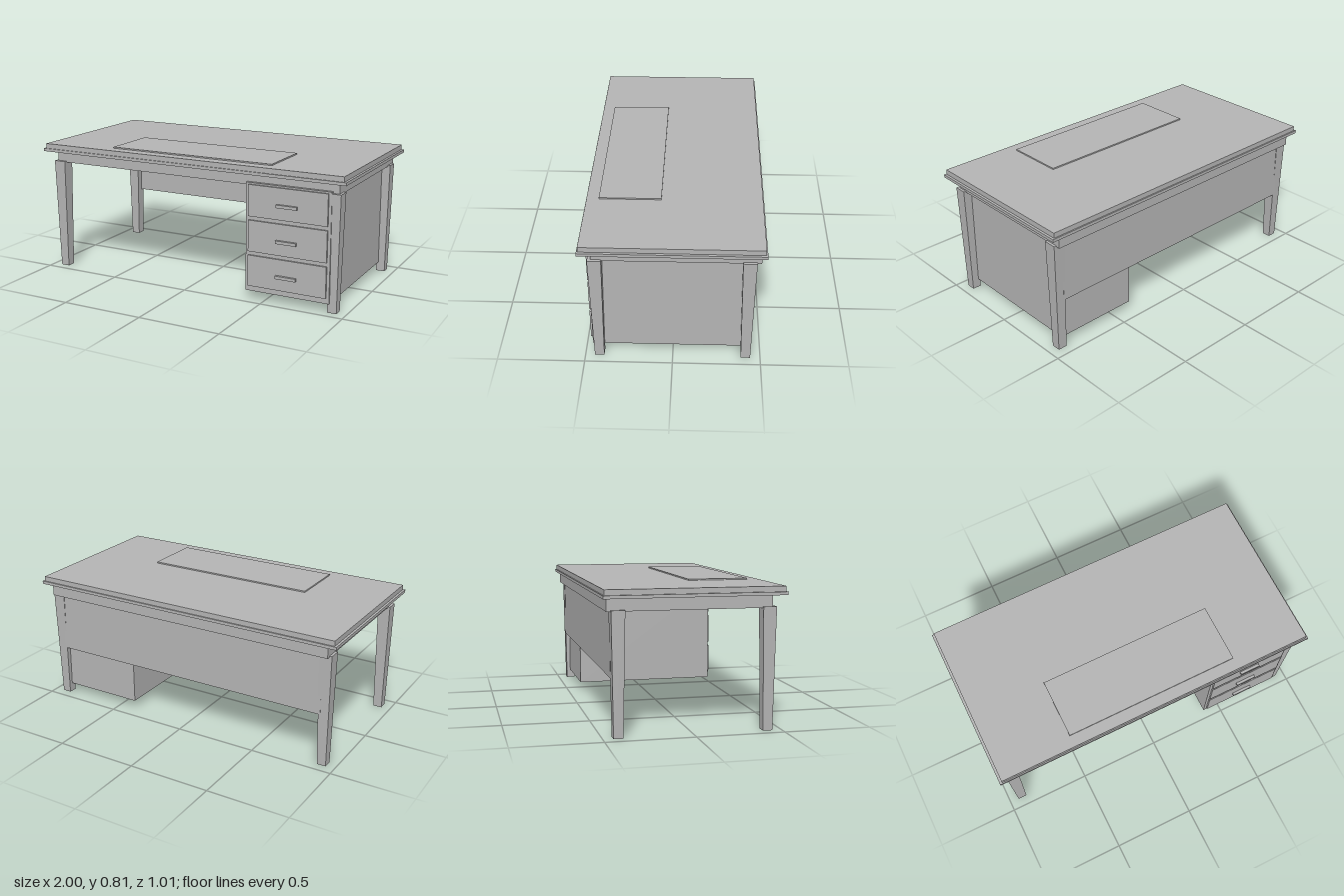
import * as THREE from 'three';

export function createModel() {
  const desk = new THREE.Group();
  desk.name = 'desk';
  const grey = new THREE.MeshStandardMaterial({ color: 0xb4b4b4 });
  grey.name = 'plain grey';

  // Box given by its lower and upper limits on each axis
  function box(name, [x0, x1], [y0, y1], [z0, z1], parent = desk) {
    const mesh = new THREE.Mesh(new THREE.BoxGeometry(x1 - x0, y1 - y0, z1 - z0), grey);
    mesh.position.set((x0 + x1) / 2, (y0 + y1) / 2, (z0 + z1) / 2);
    mesh.name = name;
    parent.add(mesh);
    return mesh;
  }

  // Two-step top with a thin writing pad
  box('topSlab', [-0.986, 0.986], [0.77, 0.8], [-0.496, 0.498]);
  box('topEdge', [-1, 1], [0.752, 0.77], [-0.504, 0.505]);
  box('writingPad', [-0.53, 0.53], [0.8, 0.808], [0.075, 0.428]);

  // Apron block and back panel
  box('apron', [-0.941, 0.941], [0.68, 0.752], [-0.478, 0.439]);
  box('backPanel', [-0.9, 0.9], [0.32, 0.68], [-0.45, -0.425]);

  // Tapered square legs
  const legHeight = 0.687, topWidth = 0.076, footWidth = 0.054;
  const legGeometry = new THREE.BoxGeometry(topWidth, legHeight, topWidth);
  legGeometry.translate(0, legHeight / 2, 0);
  const p = legGeometry.attributes.position;
  for (let i = 0; i < p.count; i++) {
    if (p.getY(i) > 0.01) continue;
    p.setX(i, p.getX(i) * footWidth / topWidth);
    p.setZ(i, p.getZ(i) * footWidth / topWidth);
  }
  legGeometry.computeVertexNormals();
  for (const side of [-1, 1]) {
    for (const [name, z] of [['frontLeg', 0.419], ['backLeg', -0.416]]) {
      const leg = new THREE.Mesh(legGeometry, grey);
      leg.name = (side > 0 ? 'left ' : 'right ') + name;
      leg.position.set(side * 0.918, 0, z);
      desk.add(leg);
    }
  }

  // Drawer pedestal with three drawer fronts and bar handles
  box('pedestal', [0.387, 0.904], [0.055, 0.698], [-0.42, 0.459]);
  for (const y of [0.18, 0.388, 0.596]) {
    const drawer = new THREE.Group();
    drawer.name = 'drawer';
    box('drawerFront', [0.405, 0.887], [y - 0.0925, y + 0.0925], [0.459, 0.47], drawer);
    box('drawerHandle', [0.583, 0.708], [y - 0.02, y - 0.002], [0.47, 0.486], drawer);
    desk.add(drawer);
  }
  return desk;
}
